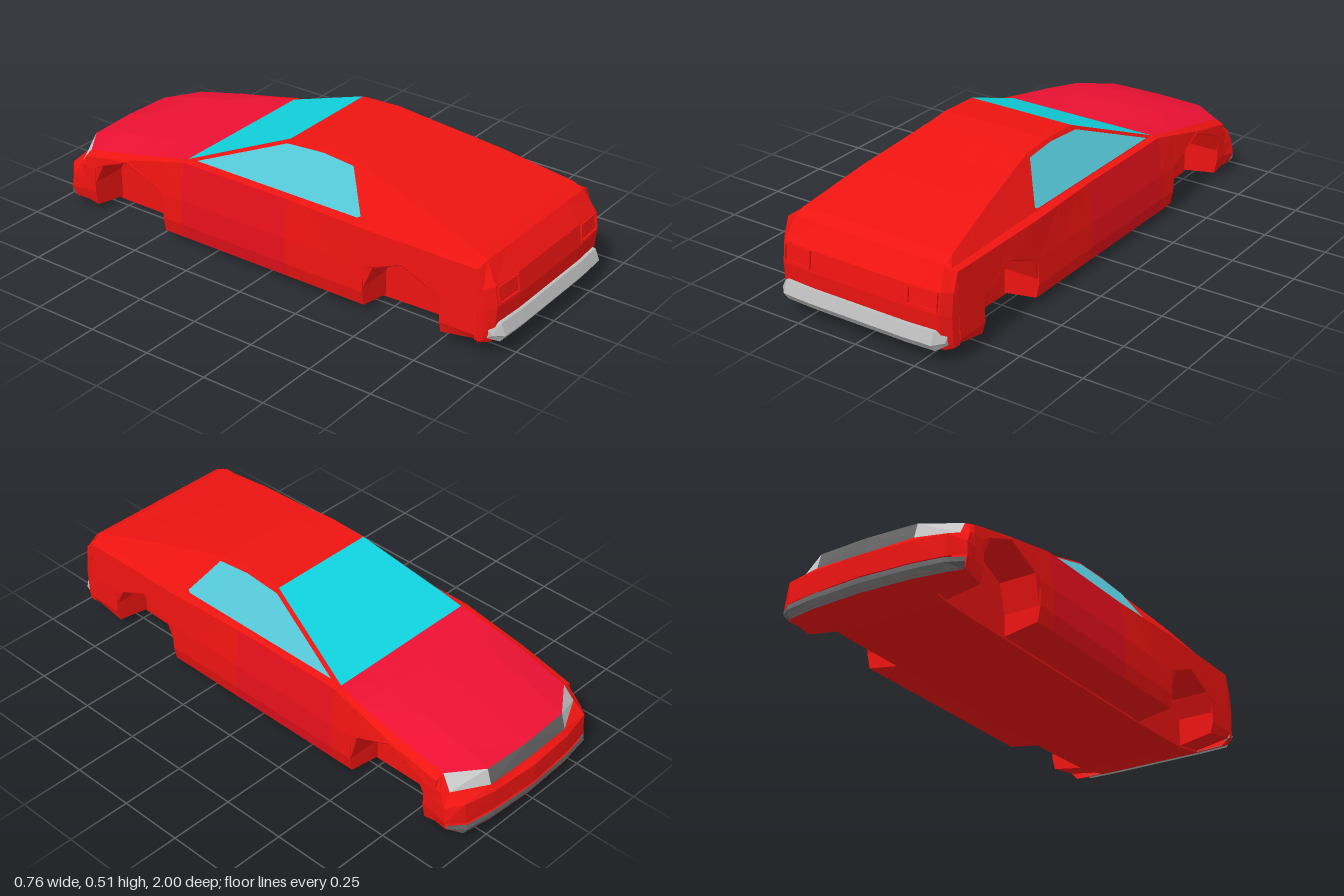
import * as THREE from 'three';

const mat = (color) => new THREE.MeshStandardMaterial({ color, flatShading: true, side: THREE.DoubleSide });
const RED = mat(0xee1411), HOOD = mat(0xee1133), DOOR = mat(0xe8101c), GLASS = mat(0x11d5e0);
const SIDE_GLASS = mat(0x55c8d8), GREY = mat(0xbbbbbb), DARK = mat(0x666666), LAMP = mat(0xcccccc);

// piecewise linear lookup in a list of [z, value]
function at(keys, z) {
  if (z <= keys[0][0]) return keys[0][1];
  for (let i = 1; i < keys.length; i++) {
    const [a, va] = keys[i - 1], [b, vb] = keys[i];
    if (z <= b) return va + (vb - va) * (z - a) / (b - a);
  }
  return keys[keys.length - 1][1];
}

// body outlines along z
const topY = [[-0.86, 0.27], [-0.8, 0.29], [-0.65, 0.315], [-0.38, 0.342], [0.02, 0.505], [0.18, 0.513],
  [0.3, 0.503], [0.6, 0.445], [0.8, 0.395], [0.87, 0.378], [0.91, 0.357]];
const edgeY = [[-0.86, 0.24], [-0.61, 0.295], [-0.38, 0.342], [0.02, 0.505], [0.18, 0.511],
  [0.3, 0.5], [0.6, 0.442], [0.8, 0.393], [0.87, 0.376], [0.91, 0.357]];
const edgeX = [[-0.86, 0.325], [-0.6, 0.335], [-0.38, 0.318], [0.02, 0.22], [0.3, 0.22], [0.87, 0.315]];
const baseX = [[-0.86, 0.345], [-0.6, 0.348], [-0.38, 0.322], [0.3, 0.322], [0.87, 0.335]];
const shoulderX = [[-0.86, 0.36], [-0.65, 0.362], [-0.38, 0.345], [0.1, 0.345], [0.44, 0.36], [0.9, 0.36]];
const shoulderY = [[-0.86, 0.225], [-0.61, 0.282], [-0.38, 0.338], [0.9, 0.34]];
const floorY = [[-0.86, 0.01], [-0.8, 0], [0.44, 0.005], [0.76, 0.015], [0.9, 0.04]];

// stations [z, wheel arch height]; equal z values make the upright arch ends
const stations = [[-0.86, 0], [-0.81, 0], [-0.81, 0.13], [-0.77, 0.21], [-0.645, 0.26], [-0.5, 0.2], [-0.47, 0.09],
  [-0.47, 0], [-0.38, 0], [0.02, 0], [0.1, 0], [0.18, 0], [0.3, 0], [0.44, 0], [0.44, 0.11], [0.48, 0.2],
  [0.6, 0.25], [0.72, 0.2], [0.76, 0.13], [0.76, 0], [0.8, 0], [0.87, 0], [0.9, 0]];

// half cross-section from roof centre round to floor centre
function section([z, arch]) {
  const ex = at(edgeX, z), ey = at(edgeY, z), sy = at(shoulderY, z), f = at(floorY, z), ty = at(topY, z);
  const sill = f + 0.03;
  return [
    [0, ty], [ex * 0.62, ty * 0.75 + ey * 0.25], [ex, ey],
    [at(baseX, z), Math.min(ey, sy + 0.006)], [at(shoulderX, z), sy],
    [0.365, Math.max(0.19, arch + 0.005)], [arch ? 0.362 : 0.367, Math.max(0.09, arch)],
    [arch ? 0.36 : 0.355, arch || sill], [0.22, arch || f + 0.008], [0.22, f], [0, f],
  ].map(([x, y]) => [x, y, z]);
}

// mirrored surface through rows of half-width points
function panel(group, name, material, rows, c0 = 0, c1 = rows[0].length - 1) {
  const pos = [];
  for (const s of [1, -1]) for (let i = 0; i + 1 < rows.length; i++) for (let j = c0; j < c1; j++) {
    const a = rows[i][j], b = rows[i + 1][j], c = rows[i + 1][j + 1], d = rows[i][j + 1];
    const order = s > 0 ? [a, b, c, a, c, d] : [a, c, b, a, d, c];
    for (const p of order) pos.push(p[0] * s, p[1], p[2]);
  }
  const geo = new THREE.BufferGeometry();
  geo.setAttribute('position', new THREE.Float32BufferAttribute(pos, 3));
  geo.computeVertexNormals();
  const mesh = new THREE.Mesh(geo, material);
  mesh.name = name;
  group.add(mesh);
  return mesh;
}

export function createModel() {
  const car = new THREE.Group();
  car.name = 'car';
  const rings = stations.map(section);
  const span = (a, b) => rings.filter((r) => r[0][2] >= a && r[0][2] <= b);

  // main shell
  panel(car, 'hood', HOOD, span(-0.86, -0.38), 0, 2);
  panel(car, 'windscreen', GLASS, span(-0.38, 0.02), 0, 2);
  panel(car, 'roof', RED, span(0.02, 0.9), 0, 2);
  panel(car, 'upperSides', RED, rings, 2, 4);
  panel(car, 'frontFenders', RED, span(-0.86, -0.38), 4, 7);
  panel(car, 'doors', DOOR, span(-0.38, 0.1), 4, 7);
  panel(car, 'rearSides', RED, span(0.1, 0.9), 4, 7);
  panel(car, 'floorAndWheelWells', RED, rings, 7, 10);

  // side windows, lying just outside the cabin sides
  for (const s of [1, -1]) {
    const outline = [[0.4, 0.349], [0.305, 0.489], [0.17, 0.498], [0.015, 0.49], [-0.335, 0.349]];
    const geo = new THREE.ShapeGeometry(new THREE.Shape(outline.map(([z, y]) => new THREE.Vector2(z, y))));
    const p = geo.attributes.position;
    for (let i = 0; i < p.count; i++) {
      const z = p.getX(i), y = p.getY(i);
      p.setXYZ(i, s * (0.327 - (y - 0.34) * 0.62), y, z);
    }
    geo.computeVertexNormals();
    const mesh = new THREE.Mesh(geo, SIDE_GLASS);
    mesh.name = s > 0 ? 'leftWindow' : 'rightWindow';
    car.add(mesh);
  }

  // nose: rows from hood lip down to floor, columns from centre to side
  const nose = [
    [[0, 0.235, -0.96], [0.2, 0.235, -0.95], [0.325, 0.24, -0.86], [0.345, 0.231, -0.86], [0.36, 0.225, -0.86]],
    [[0, 0.172, -0.972], [0.2, 0.175, -0.968], [0.335, 0.185, -0.9], [0.36, 0.19, -0.88], [0.365, 0.19, -0.86]],
    [[0, 0.155, -0.998], [0.2, 0.155, -0.985], [0.325, 0.158, -0.96], [0.372, 0.14, -0.91], [0.366, 0.14, -0.86]],
    [[0, 0.075, -0.998], [0.2, 0.075, -0.985], [0.32, 0.075, -0.965], [0.378, 0.085, -0.92], [0.367, 0.09, -0.86]],
    [[0, 0.03, -0.99], [0.2, 0.03, -0.98], [0.32, 0.03, -0.96], [0.365, 0.045, -0.91], [0.355, 0.04, -0.86]],
    [[0, 0.01, -0.86], [0.2, 0.01, -0.86], [0.22, 0.01, -0.86], [0.3, 0.028, -0.86], [0.355, 0.04, -0.86]],
  ];
  panel(car, 'hoodLip', HOOD, [nose[0], rings[0]], 0, 2);
  panel(car, 'grille', DARK, nose.slice(0, 2), 0, 1);
  panel(car, 'headlights', LAMP, nose.slice(0, 2), 1, 2);
  panel(car, 'headlightCorners', RED, nose.slice(0, 2), 2, 4);
  panel(car, 'frontBumper', RED, nose.slice(1, 4));
  panel(car, 'noseUnderside', RED, nose.slice(4, 6));
  panel(car, 'frontLipCorners', RED, nose.slice(3, 5), 3, 4);
  panel(car, 'frontLip', DARK, [
    [[0, 0.07, -1], [0.2, 0.07, -0.988], [0.32, 0.07, -0.968], [0.375, 0.075, -0.925]],
    [[0, 0.05, -1], [0.2, 0.05, -0.99], [0.32, 0.05, -0.972], [0.374, 0.06, -0.925]],
    [[0, 0.022, -0.985], [0.2, 0.022, -0.975], [0.32, 0.022, -0.955], [0.36, 0.04, -0.91]],
  ]);

  // tail: rows [y, centre z, corner z, side y] from deck edge down to floor
  const tail = [[0.357, 0.91, 0.9, 0.34], [0.28, 0.965, 0.925, 0.27], [0.2, 0.975, 0.935, 0.19],
    [0.1, 0.967, 0.93, 0.09], [0.06, 0.95, 0.925, 0.07], [0.04, 0.9, 0.9, 0.07]]
    .map(([y, z, zc, ys], i) => [[0, y, z], [0.2, y, z], [i ? 0.332 : 0.315, y, z - (i ? 0.008 : 0)],
      [0.36, ys, zc], [i ? 0.364 : 0.36, ys, 0.9]]);
  panel(car, 'deckEdge', RED, [rings[rings.length - 1], tail[0]], 0, 4);
  panel(car, 'tailPanel', RED, tail);

  // rear bumper
  panel(car, 'rearBumper', GREY, [[0.14, 0.965], [0.138, 0.982], [0.095, 1], [0.065, 0.978], [0.065, 0.945]]
    .map(([y, z]) => [[0, y, z], [0.2, y, z], [0.315, y, z - 0.006], [0.348, (y + 0.1) / 2, z - 0.04], [0.345, 0.1, 0.92]]));

  // tail light surrounds
  const rect = (path, w, h) => path.moveTo(-w, -h).lineTo(w, -h).lineTo(w, h).lineTo(-w, h).closePath();
  const frame = rect(new THREE.Shape(), 0.06, 0.034);
  frame.holes.push(rect(new THREE.Path(), 0.054, 0.028));
  const frameGeo = new THREE.ExtrudeGeometry(frame, { depth: 0.008, bevelEnabled: false });
  for (const s of [1, -1]) {
    const light = new THREE.Mesh(frameGeo, RED);
    light.name = s > 0 ? 'leftTailLight' : 'rightTailLight';
    light.position.set(s * 0.265, 0.244, 0.965);
    light.rotation.set(-0.12, s * 0.06, 0);
    car.add(light);
  }
  return car;
}
